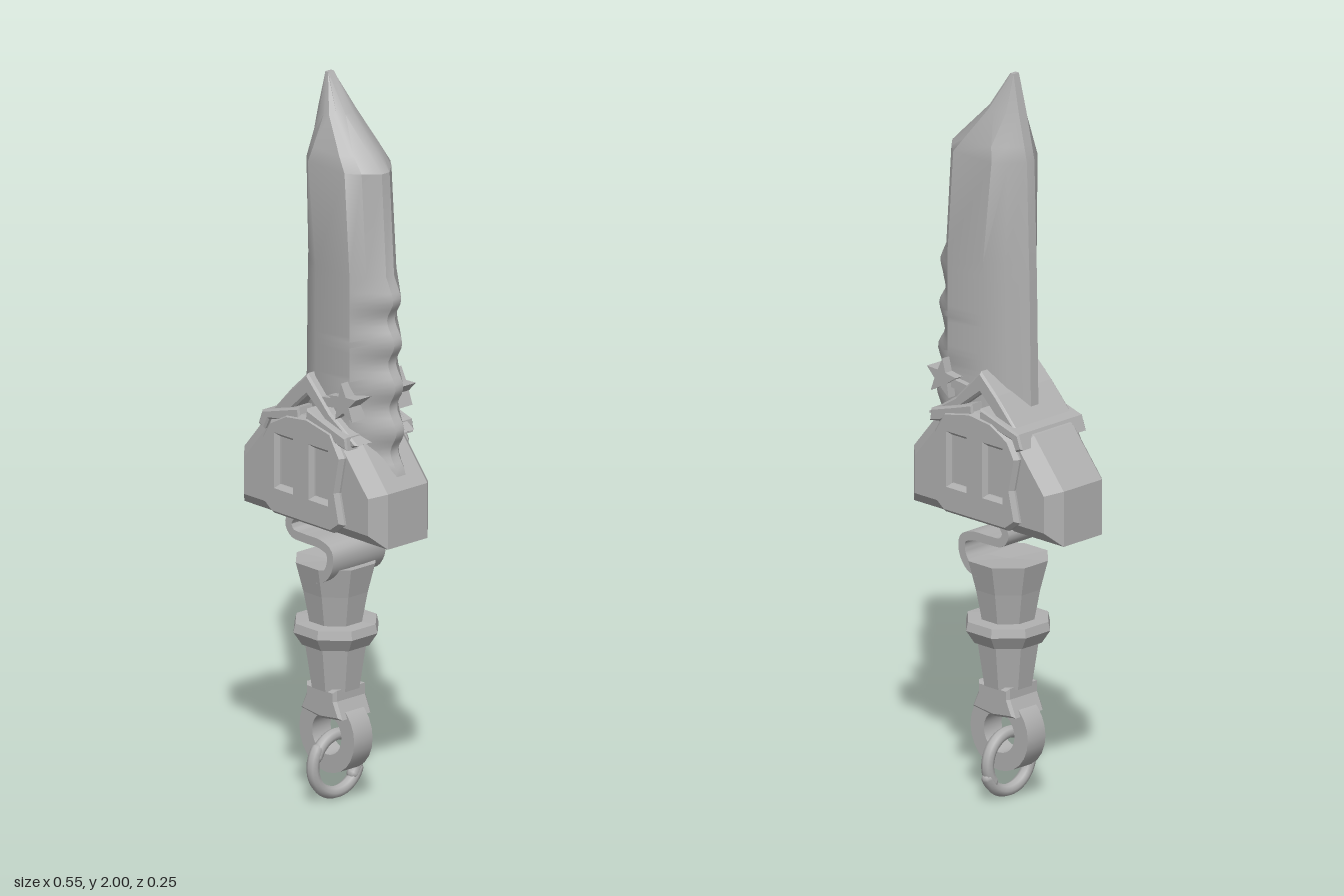
import * as THREE from 'three';
import { toCreasedNormals } from 'three/addons/utils/BufferGeometryUtils.js';

const metal = new THREE.MeshStandardMaterial({ color: 0xb0b0b0 });
metal.name = 'grey metal';

function add(parent, name, geometry) {
  const mesh = new THREE.Mesh(geometry, metal);
  mesh.name = name;
  parent.add(mesh);
  return mesh;
}

const shapeOf = (pts) => new THREE.Shape(pts.map(([x, y]) => new THREE.Vector2(x, y)));

// Extrusion centred on z = 0, reaching +-halfZ, with its bevel inside the outline
function slab(shape, halfZ, bevel = 0, bevelDepth = bevel) {
  const g = new THREE.ExtrudeGeometry(shape, {
    depth: 2 * (halfZ - bevelDepth), bevelEnabled: bevel > 0, bevelSegments: 1,
    bevelSize: bevel, bevelThickness: bevelDepth, bevelOffset: -bevel, curveSegments: 12,
  });
  return g.translate(0, 0, bevelDepth - halfZ);
}

// Closed skin over rings of equal length, listed from bottom to top
function loft(rings) {
  const n = rings[0].length, idx = [], last = (rings.length - 1) * n;
  for (let i = 0; i < rings.length - 1; i++) {
    for (let j = 0; j < n; j++) {
      const a = i * n + j, b = i * n + (j + 1) % n;
      idx.push(a, b, b + n, a, b + n, a + n);
    }
  }
  for (let j = 1; j < n - 1; j++) idx.push(0, j + 1, j, last, last + j, last + j + 1);
  const g = new THREE.BufferGeometry();
  g.setAttribute('position', new THREE.Float32BufferAttribute(rings.flat(2), 3));
  g.setIndex(idx);
  return g;
}

// Blade cross-section: thin edges, curved grinds, flat middle
function bladeRing(y, xl, ra, rb, xr, t) {
  const e = Math.min(0.014, t);
  const mix = (a, b, k) => a + (b - a) * k;
  const front = [
    [xl, e], [mix(xl, ra, 0.45), mix(e, t, 0.6)], [ra, t],
    [rb, t], [mix(rb, xr, 0.5), mix(e, t, 0.58)], [xr, e],
  ];
  const back = front.map(([x, z]) => [x, -z]).reverse();
  return [...front, ...back].map(([x, z]) => [x, y, z]);
}

function bladeGeometry() {
  const rings = [];
  // serrated lower part
  for (let i = 0; i <= 32; i++) {
    const y = 0.95 + i * 0.0156;
    const wave = 0.013 * Math.cos(((y - 1.43) / 0.12) * Math.PI * 2);
    const xr = 0.238 - (y - 0.95) * 0.035 + wave;
    rings.push(bladeRing(y, -0.1 + (y - 0.95) * 0.015, 0.01, 0.14, xr, 0.083));
  }
  // plain upper part and the clipped point
  rings.push(bladeRing(1.49, -0.091, 0.01, 0.14, 0.207, 0.083));
  rings.push(bladeRing(1.77, -0.083, -0.02, 0.12, 0.19, 0.082));
  rings.push(bladeRing(1.81, -0.074, -0.01, 0.09, 0.148, 0.073));
  rings.push(bladeRing(1.9, -0.053, 0.005, 0.025, 0.052, 0.048));
  rings.push(bladeRing(2.0, -0.03, -0.025, -0.022, -0.018, 0.01));
  return toCreasedNormals(loft(rings), 0.55);
}

// Eight-sided turned part from [half width, height] pairs
function octagonal(profile) {
  const k = 1 / Math.cos(Math.PI / 8);
  const pts = profile.map(([r, y]) => new THREE.Vector2(r * k, y));
  const g = new THREE.LatheGeometry(pts, 8, Math.PI / 8).toNonIndexed();
  g.computeVertexNormals();
  return g;
}

// Flat band of constant thickness following a path in the xy plane
function band(points, thickness, halfZ) {
  const path = new THREE.CatmullRomCurve3(
    points.map(([x, y]) => new THREE.Vector3(x, y, 0)), false, 'centripetal');
  const left = [], right = [];
  for (let i = 0; i <= 36; i++) {
    const p = path.getPointAt(i / 36), t = path.getTangentAt(i / 36);
    left.push([p.x - t.y * thickness / 2, p.y + t.x * thickness / 2]);
    right.push([p.x + t.y * thickness / 2, p.y - t.x * thickness / 2]);
  }
  return toCreasedNormals(slab(shapeOf([...left, ...right.reverse()]), halfZ), 0.6);
}

export function createModel() {
  const model = new THREE.Group();
  model.name = 'dagger';

  add(model, 'blade', bladeGeometry());

  // Guard block with chamfered shoulders
  add(model, 'guard', slab(shapeOf([
    [-0.274, 0.768], [0.274, 0.768], [0.274, 0.92], [0.165, 1.05],
    [0, 1.08], [-0.165, 1.05], [-0.274, 0.92],
  ]), 0.108, 0.037));

  // Face plate with two window recesses, the same on both sides
  const plate = shapeOf([
    [-0.115, 0.785], [0.115, 0.785], [0.155, 0.815], [0.135, 0.9], [0.155, 1.0],
    [0.115, 1.065], [0.02, 1.085], [-0.06, 1.075], [-0.125, 1.04],
    [-0.155, 0.99], [-0.135, 0.9], [-0.155, 0.815],
  ]);
  for (const x of [-0.066, 0.066]) {
    plate.holes.push(new THREE.Path([[-1, -1], [-1, 1], [1, 1], [1, -1]].map(
      ([u, v]) => new THREE.Vector2(x + u * 0.027, 0.935 + v * 0.067))));
  }
  add(model, 'facePlate', slab(plate, 0.126, 0.01, 0.012));

  // Peaked strap around the root of the blade
  add(model, 'chevronStrap', slab(shapeOf([
    [-0.168, 1.025], [-0.125, 1.02], [0, 1.135], [0.15, 1.02],
    [0.192, 1.04], [0.09, 1.105], [0, 1.195], [-0.06, 1.14],
  ]), 0.106, 0.006));

  // Clasp bars above the face plate
  const bars = new THREE.Group();
  bars.name = 'claspBars';
  model.add(bars);
  add(bars, 'rightBar', slab(shapeOf([
    [-0.17, 1.02], [-0.145, 1.01], [-0.13, 1.04], [-0.01, 1.065], [-0.015, 1.1], [-0.155, 1.06],
  ]), 0.122, 0.005));
  add(bars, 'leftBar', slab(shapeOf([
    [0.01, 1.07], [0.14, 1.03], [0.17, 1.025], [0.165, 1.06], [0.08, 1.085], [0.015, 1.105],
  ]), 0.122, 0.005));

  // Star ornament and the little bar leading to it
  const star = [];
  for (let i = 0; i < 10; i++) {
    const r = i % 2 ? 0.024 : 0.056, a = Math.PI / 2 + 0.1 + i * Math.PI / 5;
    star.push([0.14 + r * Math.cos(a), 1.145 + r * Math.sin(a)]);
  }
  add(model, 'star', slab(shapeOf(star), 0.108));
  add(model, 'starBar', slab(shapeOf([
    [0.03, 1.115], [0.11, 1.125], [0.11, 1.15], [0.03, 1.14],
  ]), 0.1));

  // Curved spring strip between guard and grip
  add(model, 'springStrip', band([
    [-0.07, 0.785], [-0.082, 0.76], [-0.068, 0.737], [-0.02, 0.732], [0.04, 0.73],
    [0.073, 0.715], [0.076, 0.68], [0.055, 0.645], [0.02, 0.63],
  ], 0.024, 0.094));

  // Grip, collar and neck
  add(model, 'upperGrip', octagonal([[0, 0.48], [0.066, 0.48], [0.084, 0.58], [0.104, 0.662], [0, 0.655]]));
  add(model, 'collar', octagonal([
    [0, 0.434], [0.088, 0.434], [0.11, 0.47], [0.105, 0.494], [0.07, 0.496], [0, 0.496],
  ]));
  add(model, 'lowerGrip', octagonal([[0, 0.312], [0.062, 0.312], [0.08, 0.436], [0, 0.436]]));
  add(model, 'neck', slab(shapeOf([
    [-0.078, 0.243], [0, 0.232], [0.078, 0.243], [0.057, 0.29], [0.057, 0.32], [-0.057, 0.32], [-0.057, 0.29],
  ]), 0.058, 0.008));

  // Pommel eye
  const eye = new THREE.Shape().absarc(0, 0.183, 0.105, 0, Math.PI * 2);
  eye.holes.push(new THREE.Path().absarc(0, 0.183, 0.056, 0, Math.PI * 2, true));
  add(model, 'pommelEye', toCreasedNormals(slab(eye, 0.033), 0.6));

  // Split ring: two overlapping arcs hanging through the eye
  const splitRing = new THREE.Group();
  splitRing.name = 'splitRing';
  splitRing.position.y = 0.1;
  splitRing.rotation.y = Math.PI / 2;
  model.add(splitRing);
  [[0.083, 3.3, 2.55], [0.076, 3.4, -0.65]].forEach(([radius, arc, start], i) => {
    const ring = add(splitRing, 'ringArc' + (i + 1), new THREE.TorusGeometry(radius, 0.017, 8, 24, arc));
    ring.rotation.z = start;
    // closing discs on the arc ends
    for (const a of [0, arc]) {
      const end = add(ring, 'ringEnd', new THREE.SphereGeometry(0.017, 8, 6));
      end.position.set(radius * Math.cos(a), radius * Math.sin(a), 0);
    }
  });

  return model;
}
